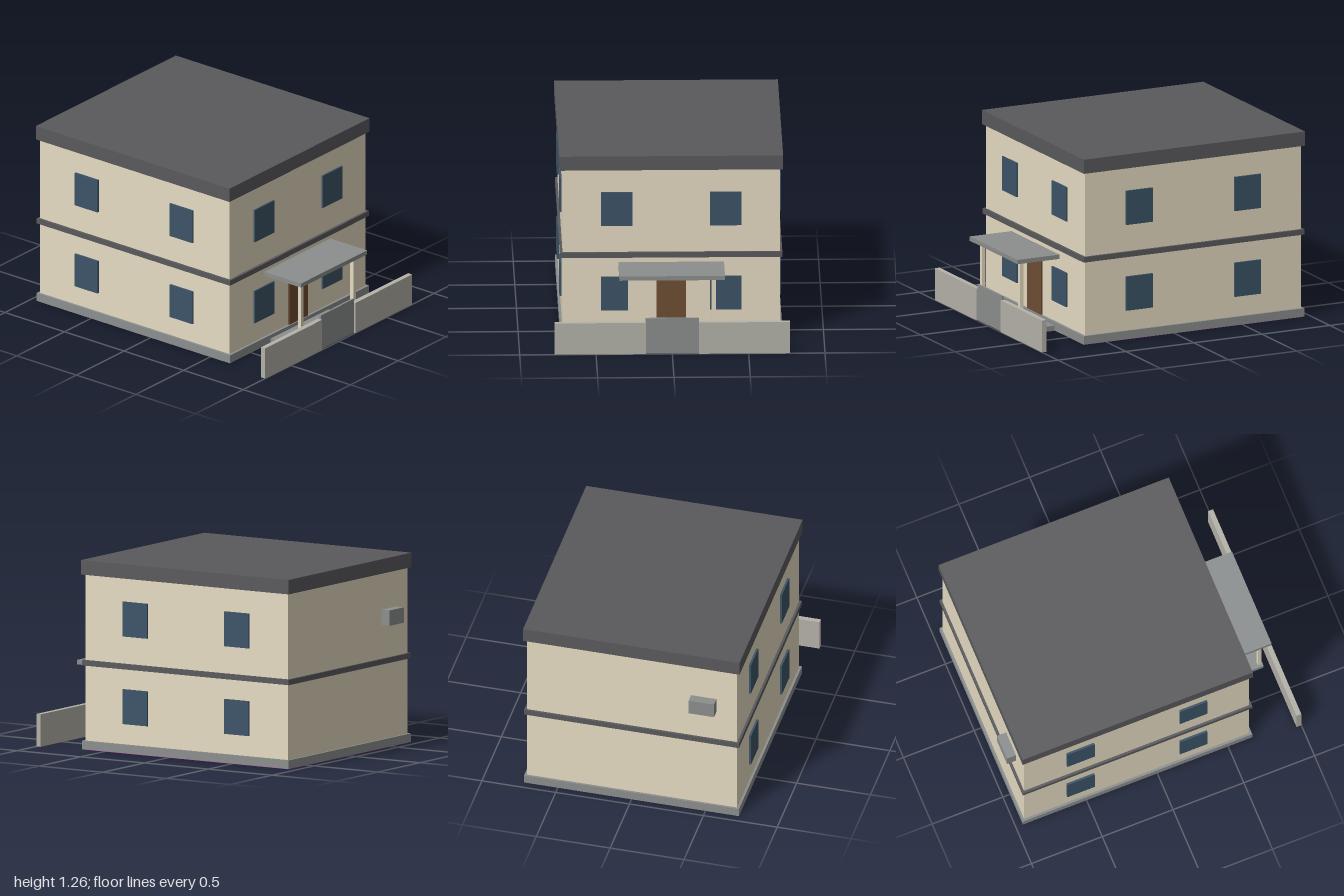
import * as THREE from 'three';

const mat = (name, color) => {
  const m = new THREE.MeshStandardMaterial({ color });
  m.name = name;
  return m;
};

export function createModel() {
  const house = new THREE.Group();
  house.name = 'house';

  const plaster = mat('beige plaster', 0xe6dcc3);
  const slate = mat('dark slate', 0x5a595c);
  const glass = mat('blue glass', 0x3c5468);
  const wood = mat('brown wood', 0x6e4e34);
  const concrete = mat('grey concrete', 0x8c8f8f);
  const fenceGrey = mat('warm grey', 0xb4b2a9);
  const magenta = mat('magenta underside', 0xe010e0);

  // Box given by its extents along each axis
  const box = (name, material, [x0, x1], [y0, y1], [z0, z1]) => {
    const mesh = new THREE.Mesh(new THREE.BoxGeometry(x1 - x0, y1 - y0, z1 - z0), material);
    mesh.position.set((x0 + x1) / 2, (y0 + y1) / 2, (z0 + z1) / 2);
    mesh.name = name;
    house.add(mesh);
  };
  // Extents mirrored to the left (+1) or right (-1)
  const side = (s, a, b) => (s > 0 ? [a, b] : [-b, -a]);

  // Main block, from underside to roof
  box('underside', magenta, [-0.72, 0.72], [0, 0.003], [-0.944, 0.663]);
  box('plinth', concrete, [-0.728, 0.728], [0.003, 0.06], [-0.951, 0.671]);
  box('lowerWalls', plaster, [-0.712, 0.712], [0.06, 0.558], [-0.936, 0.654]);
  box('floorBand', slate, [-0.728, 0.728], [0.558, 0.594], [-0.951, 0.671]);
  box('upperWalls', plaster, [-0.712, 0.712], [0.594, 1.16], [-0.936, 0.654]);
  box('roof', slate, [-0.733, 0.733], [1.16, 1.256], [-0.954, 0.672]);

  // Windows on both floors
  for (const y of [0.195, 0.775]) {
    const height = [y, y + 0.23];
    for (const s of [1, -1]) {
      box('frontWindow', glass, side(s, 0.253, 0.46), height, [0.654, 0.665]);
      for (const z of [0.161, -0.635]) {
        box('sideWindow', glass, side(s, 0.712, 0.726), height, [z, z + 0.193]);
      }
    }
  }

  // Entrance: door, porch slab, posts and canopy
  box('door', wood, [-0.098, 0.098], [0.06, 0.467], [0.654, 0.665]);
  box('porchSlab', concrete, [-0.305, 0.305], [0, 0.035], [0.671, 0.922]);
  box('canopy', concrete, [-0.346, 0.346], [0.494, 0.523], [0.654, 0.962]);
  for (const s of [1, -1]) {
    box('porchPost', plaster, side(s, 0.26, 0.288), [0.035, 0.494], [0.888, 0.915]);
  }

  // Street wall and gate
  for (const s of [1, -1]) {
    box('streetWall', fenceGrey, side(s, 0.174, 0.77), [0, 0.215], [0.966, 1]);
  }
  box('gate', concrete, [-0.174, 0.174], [0, 0.243], [0.977, 0.99]);

  // Air conditioner on the back wall
  box('airConditioner', concrete, [-0.572, -0.4], [0.816, 0.918], [-1, -0.936]);

  return house;
}
